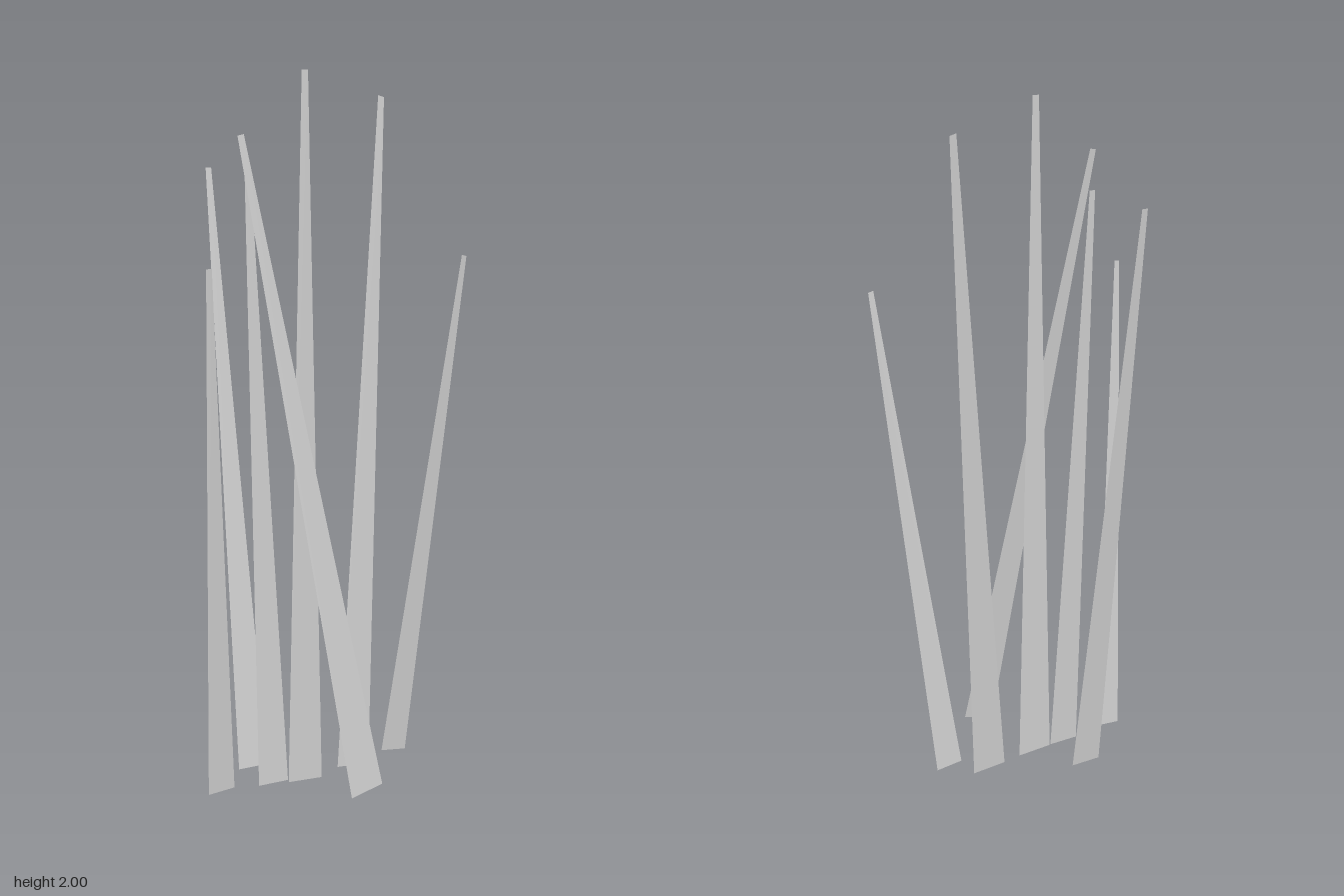
import * as THREE from 'three';

// One flat tapered blade: base and tip edges as [xLeft, yLeft, xRight, yRight, z]
function makeBlade(name, base, tip, material) {
  const [bx0, by0, bx1, by1, bz] = base;
  const [tx0, ty0, tx1, ty1, tz] = tip;
  const geometry = new THREE.BufferGeometry();
  geometry.setAttribute('position', new THREE.Float32BufferAttribute([
    bx0, by0, bz, bx1, by1, bz, tx1, ty1, tz, tx0, ty0, tz,
  ], 3));
  geometry.setIndex([0, 1, 2, 0, 2, 3]);
  geometry.computeVertexNormals();
  const mesh = new THREE.Mesh(geometry, material);
  mesh.name = name;
  return mesh;
}

export function createModel() {
  const group = new THREE.Group();
  group.name = 'grassTuft';
  const material = new THREE.MeshStandardMaterial({
    color: 0xcccccc, side: THREE.DoubleSide, flatShading: true,
  });

  const blades = [
    ['centreBlade', [-0.11, 0.005, -0.003, 0, 0.045], [-0.065, 2, -0.046, 2, 0.045]],
    ['tallLeftBlade', [0.062, 0.01, 0.166, 0.003, 0.022], [0.236, 1.943, 0.255, 1.938, -0.07]],
    ['outerLeftBlade', [0.197, 0.045, 0.277, 0.036, 0.045], [0.378, 1.504, 0.393, 1.5, 0.156]],
    ['outerRightBlade', [-0.36, 0.016, -0.281, 0.023, 0.045], [-0.397, 1.488, -0.381, 1.49, 0.156]],
    ['crossingBlade', [-0.022, 0.02, 0.075, 0.045, 0.26], [-0.289, 1.825, -0.271, 1.829, 0.12]],
    // Two matching blades, the rear one leaning further back
    ['innerRightBlade', [-0.202, 0.01, -0.11, 0.01, 0.04], [-0.212, 1.743, -0.195, 1.743, -0.004]],
    ['rearBlade', [-0.202, 0.01, -0.11, 0.01, -0.095], [-0.212, 1.743, -0.195, 1.743, -0.262]],
  ];
  for (const [name, base, tip] of blades) group.add(makeBlade(name, base, tip, material));
  return group;
}
